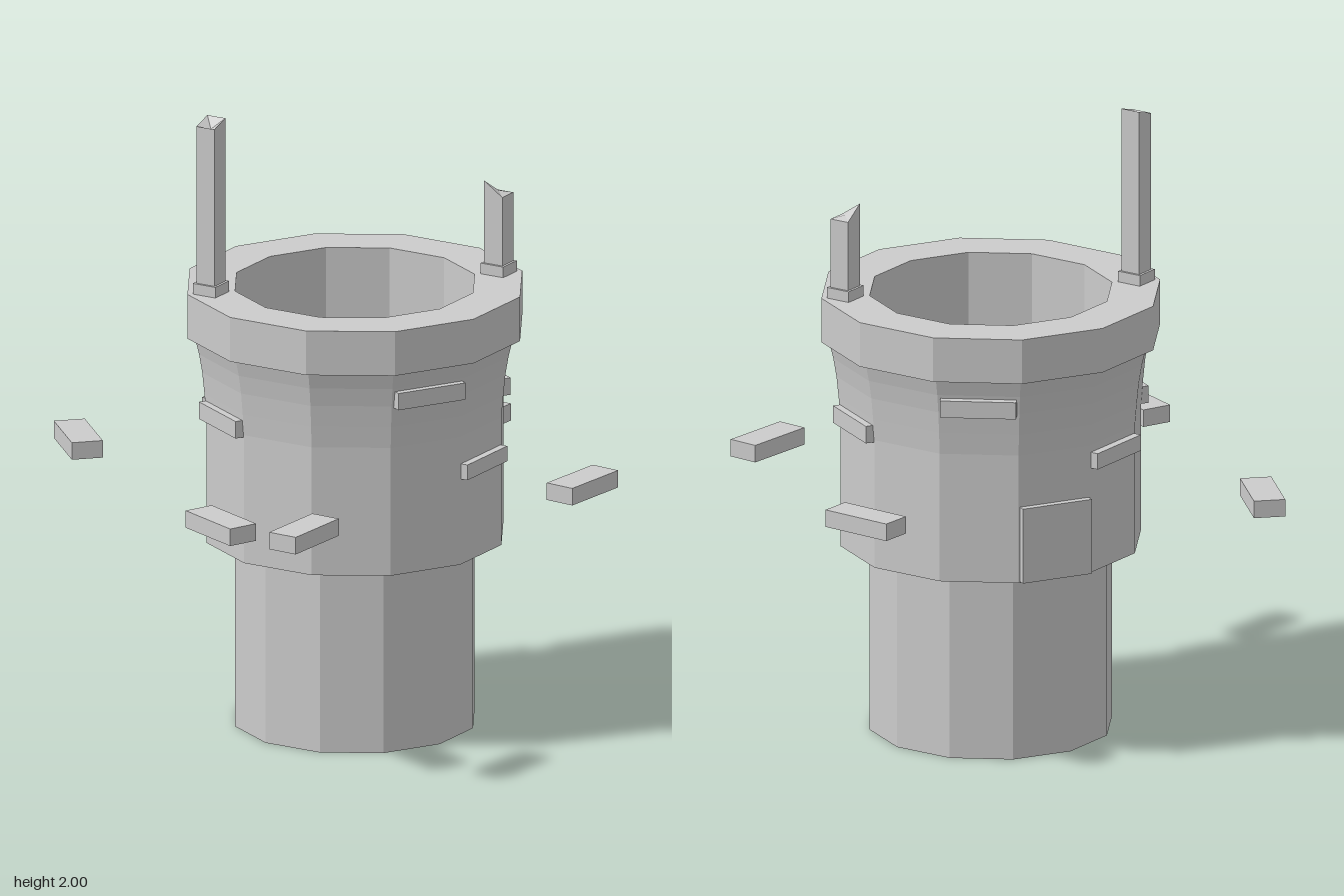
import * as THREE from 'three';

const CX = 0.035, CZ = -0.115; // axis of the well
const mat = new THREE.MeshStandardMaterial({ color: 0xcccccc, flatShading: true, side: THREE.DoubleSide });

function add(parent, name, geometry, x = 0, y = 0, z = 0, turn = 0) {
  const mesh = new THREE.Mesh(geometry, mat);
  mesh.name = name;
  mesh.position.set(x, y, z);
  mesh.rotation.y = turn;
  parent.add(mesh);
  return mesh;
}

// Box without its underside
function bottomlessBox(w, h, d) {
  const g = new THREE.BoxGeometry(w, h, d);
  const index = Array.from(g.index.array);
  index.splice(18, 6);
  g.setIndex(index);
  return g;
}

// Square post standing on a corner, its top broken into four slopes.
// tops: heights at +x, +z, -x, -z; centre: height in the middle
function brokenPost(radius, base, tops, centre) {
  const dirs = [[1, 0], [0, 1], [-1, 0], [0, -1]];
  const pos = [];
  for (let i = 0; i < 4; i++) {
    const j = (i + 1) % 4;
    const a = dirs[i].map(v => v * radius), b = dirs[j].map(v => v * radius);
    const a0 = [a[0], base, a[1]], b0 = [b[0], base, b[1]];
    const a1 = [a[0], tops[i], a[1]], b1 = [b[0], tops[j], b[1]];
    pos.push(...a0, ...a1, ...b1, ...a0, ...b1, ...b0, ...a1, 0, centre, 0, ...b1);
  }
  const g = new THREE.BufferGeometry();
  g.setAttribute('position', new THREE.Float32BufferAttribute(pos, 3));
  g.computeVertexNormals();
  return g;
}

export function createModel() {
  const model = new THREE.Group();
  model.name = 'well';

  // Shaft, rim and flared outer wall in twelve-sided profiles
  const lathe = pts => new THREE.LatheGeometry(pts.map(p => new THREE.Vector2(...p)), 12);
  add(model, 'shaft', lathe([[0, 0], [0.387, 0], [0.387, 0.61], [0.387, 1.43]]), CX, 0, CZ);
  add(model, 'rim', lathe([[0.505, 1.285], [0.541, 1.285], [0.541, 1.43], [0.387, 1.43]]), CX, 0, CZ);
  add(model, 'outerWall', lathe([[0.48, 0.61], [0.48, 1.03], [0.486, 1.1], [0.493, 1.17],
    [0.503, 1.23], [0.517, 1.287]]), CX, 0, CZ);

  // Bricks standing out of the wall: angle, middle height, outer distance, height
  const wallBricks = [
    [15, 1.192, 0.507, 0.055], [45, 0.915, 0.488, 0.05], [105, 1.05, 0.492, 0.056],
    [165, 1.192, 0.513, 0.055], [225, 0.98, 0.49, 0.052], [285, 1.05, 0.492, 0.056],
    [195, 0.737, 0.487, 0.245],
  ];
  for (const [deg, y, outer, h] of wallBricks) {
    const a = THREE.MathUtils.degToRad(deg), r = outer - 0.025;
    add(model, h > 0.1 ? 'wallPanel' : 'wallBrick', new THREE.BoxGeometry(0.24, h, 0.05),
      CX + r * Math.sin(a), y, CZ + r * Math.cos(a), a);
  }

  // Loose bricks around the well: x, z and the direction of the long side
  const looseBricks = [
    [-0.75, -0.565, 0, 1], [0.522, -0.587, 0.16, 0.18], [0.674, 0.285, 0.18, -0.15],
    [-0.532, 0.441, 0.09, 0.225], [-0.299, 0.589, -0.178, 0.163],
  ];
  for (const [x, z, dx, dz] of looseBricks) {
    add(model, 'looseBrick', bottomlessBox(0.1, 0.056, 0.242), x, 0.838, z, Math.atan2(dx, dz));
  }

  // Broken posts on square feet
  const posts = [
    [-0.43, [2, 1.98, 1.98, 2], 1.968],
    [0.5, [1.69, 1.69, 1.735, 1.69], 1.7],
  ];
  for (const [x, tops, centre] of posts) {
    const post = new THREE.Group();
    post.name = 'post';
    post.position.set(x, 0, CZ);
    model.add(post);
    add(post, 'postFoot', new THREE.BoxGeometry(0.083, 0.035, 0.083), 0, 1.4475, 0, Math.PI / 4);
    add(post, 'brokenPost', brokenPost(0.047, 1.465, tops, centre));
  }
  return model;
}
